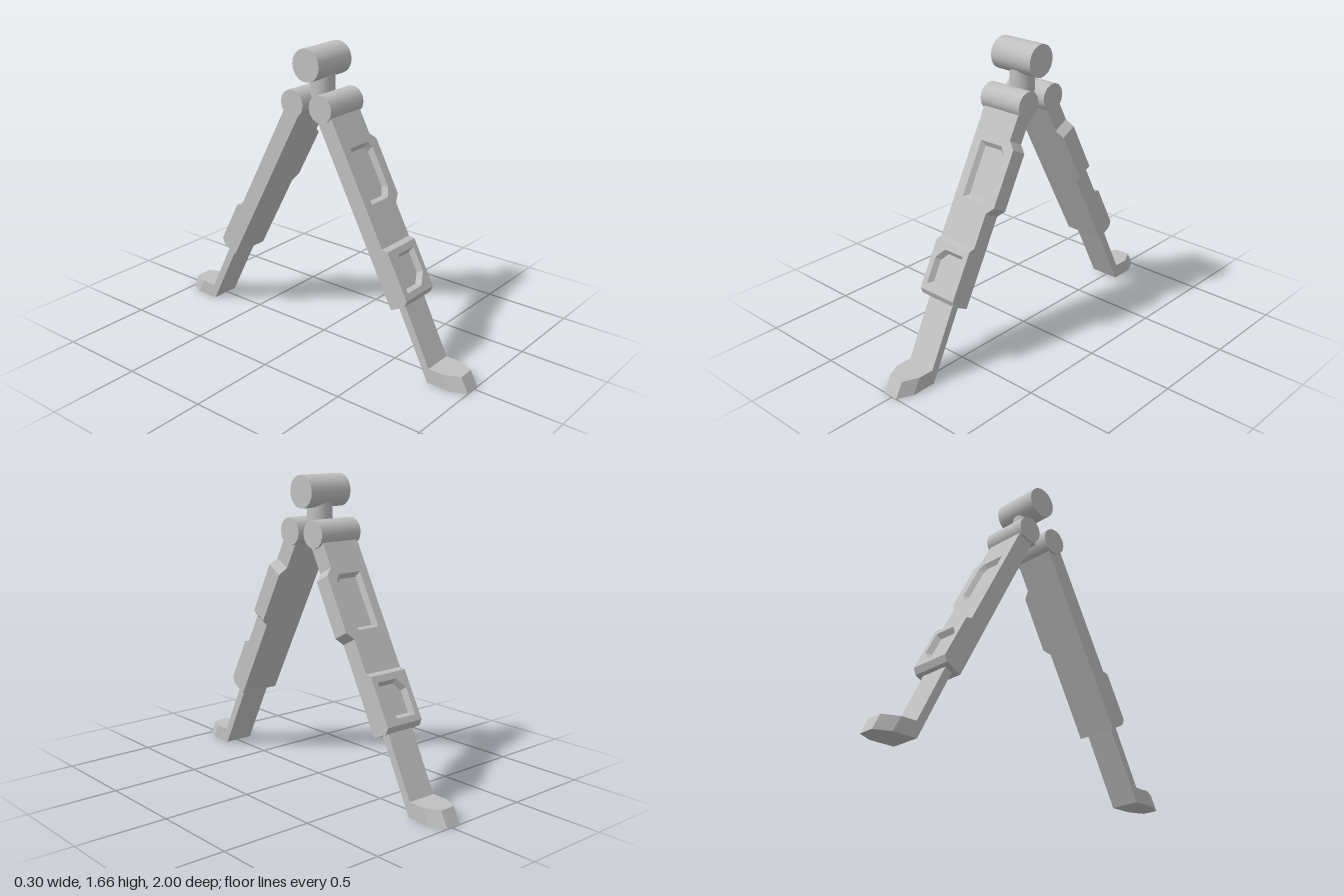
import * as THREE from 'three';

const TILT = THREE.MathUtils.degToRad(28);

function toShape(points) {
  return new THREE.Shape(points.map(([x, y]) => new THREE.Vector2(x, y)));
}

// Slab from an outline, between two heights, with an optional hole
function slab(outline, from, to, hole) {
  const shape = toShape(outline);
  if (hole) shape.holes.push(toShape(hole));
  return new THREE.ExtrudeGeometry(shape, { depth: to - from, bevelEnabled: false }).translate(0, 0, from);
}

// Sloping walls of a recess, from its rim down to a smaller floor
function pocketWalls(rim, top, floor, inset) {
  const box = new THREE.Box2().setFromPoints(rim.map(([x, y]) => new THREE.Vector2(x, y)));
  const c = box.getCenter(new THREE.Vector2()), size = box.getSize(new THREE.Vector2());
  const shrink = ([x, y]) => [
    c.x + (x - c.x) * (1 - 2 * inset / size.x),
    c.y + (y - c.y) * (1 - 2 * inset / size.y), floor];
  const pos = [];
  rim.forEach((a, i) => {
    const b = rim[(i + 1) % rim.length];
    const A = [...a, top], B = [...b, top], C = shrink(b), D = shrink(a);
    pos.push(...A, ...B, ...C, ...A, ...C, ...D);
  });
  const g = new THREE.BufferGeometry();
  g.setAttribute('position', new THREE.Float32BufferAttribute(pos, 3));
  g.computeVertexNormals();
  return g;
}

// Move vertices by a rule and refresh the flat normals
function reshape(geometry, rule) {
  const p = geometry.attributes.position, v = new THREE.Vector3();
  for (let i = 0; i < p.count; i++) {
    rule(v.fromBufferAttribute(p, i));
    p.setXYZ(i, v.x, v.y, v.z);
  }
  geometry.computeVertexNormals();
  return geometry;
}

// Mirror front to back, turning the triangles round again
function mirrorZ(geometry) {
  const g = geometry.clone(), p = g.attributes.position;
  const a = new THREE.Vector3(), b = new THREE.Vector3();
  for (let i = 0; i < p.count; i += 3) {
    a.fromBufferAttribute(p, i + 1);
    b.fromBufferAttribute(p, i + 2);
    p.setXYZ(i + 1, b.x, b.y, b.z);
    p.setXYZ(i + 2, a.x, a.y, a.z);
  }
  return reshape(g, v => { v.z = -v.z; });
}

function barrel(radius, length, sides) {
  return new THREE.CylinderGeometry(radius, radius, length, sides).rotateZ(Math.PI / 2);
}

// Leg parts facing the front, in model space
function legParts() {
  const place = g => g.rotateX(-TILT).translate(0, 1.36, 0.095);

  // Upper leg: outline with a side bulge, y runs down the leg from the hinge
  const outline = [
    [-0.135, -1.097], [0.105, -1.097], [0.105, -0.592], [0.145, -0.552],
    [0.145, -0.24], [0.105, -0.2], [0.105, 0], [-0.135, 0]];
  const upperRim = [
    [-0.081, -0.549], [0.056, -0.549], [0.09, -0.499],
    [0.09, -0.271], [0.064, -0.24], [-0.081, -0.24]];

  // Raised block with its two end edges sloped
  const blockOutline = [[-0.135, -1.097], [0.105, -1.097], [0.105, -0.78], [-0.135, -0.78]];
  const lowerRim = [
    [-0.103, -1.038], [0.02, -1.038], [0.073, -0.977],
    [0.073, -0.838], [-0.055, -0.838], [-0.103, -0.892]];
  const block = reshape(slab(blockOutline, 0.037, 0.065, lowerRim), v => {
    if (v.z < 0.06) return;
    if (v.y > -0.79) v.y -= 0.022;
    if (v.y < -1.09) v.y += 0.025;
  });

  // Extending rod, drawn in side profile
  const rod = slab([[0.605, 0.435], [0.564, 0.416], [0.776, 0], [0.782, 0.083]], 0, 0.17)
    .rotateY(-Math.PI / 2).translate(0.07, 0, 0);

  // Foot: clipped toe corners, leaning back towards the top
  const toe = [
    [-0.1, -0.776], [-0.1, -0.915], [-0.06, -1], [0.03, -1], [0.07, -0.915], [0.07, -0.776]];
  const foot = reshape(slab(toe, 0, 0.083).rotateX(-Math.PI / 2), v => {
    if (v.z > 0.8) v.z -= v.y * 0.52;
  });

  return {
    LegBack: place(slab(outline, -0.058, 0.012)),
    LegFace: place(slab(outline, 0.012, 0.037, upperRim)),
    UpperPocket: place(pocketWalls(upperRim, 0.037, 0.012, 0.02)),
    LegBlock: place(block),
    LowerPocket: place(pocketWalls(lowerRim, 0.065, 0.037, 0.018)),
    Rod: rod,
    Foot: foot,
  };
}

export function createModel() {
  const model = new THREE.Group();
  model.name = 'foldingBipod';
  const grey = new THREE.MeshStandardMaterial({ color: 0xc0c0c0 });
  grey.name = 'grey';

  const add = (parent, name, geometry) => {
    const mesh = new THREE.Mesh(geometry, grey);
    mesh.name = name;
    parent.add(mesh);
    return mesh;
  };

  // Mounting barrel and neck
  add(model, 'mountBarrel', barrel(0.088, 0.27, 20)).position.set(-0.015, 1.575, 0);
  add(model, 'neck', new THREE.CylinderGeometry(0.067, 0.067, 0.2, 20)).position.set(-0.01, 1.44, 0);

  // Two mirrored legs
  const parts = legParts();
  for (const side of [1, -1]) {
    const label = side > 0 ? 'front' : 'back';
    const leg = new THREE.Group();
    leg.name = label + 'Leg';
    add(leg, label + 'Hinge', barrel(0.075, 0.27, 14)).position.set(-0.015, 1.36, side * 0.095);
    for (const [name, geometry] of Object.entries(parts)) {
      add(leg, label + name, side > 0 ? geometry : mirrorZ(geometry));
    }
    model.add(leg);
  }
  return model;
}
